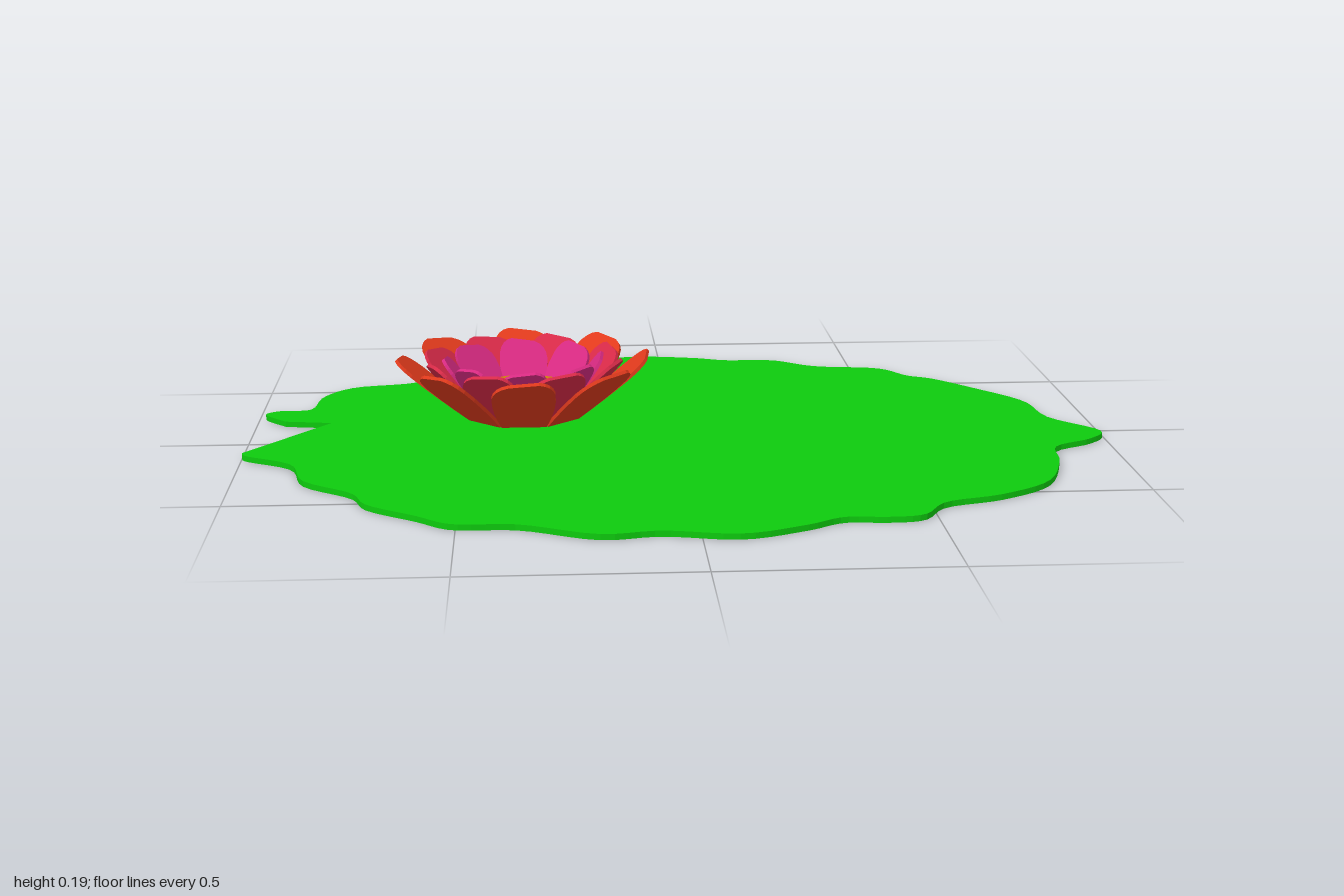
import * as THREE from 'three';

// Wavy pad margin as x, z pairs, running from one side of the notch round to the other
const MARGIN = [
  -0.93, -0.16, -0.985, -0.23, -0.95, -0.265, -0.88, -0.275, -0.86, -0.4, -0.79, -0.495,
  -0.64, -0.54, -0.59, -0.645, -0.505, -0.72, -0.32, -0.74, -0.08, -0.80, 0.08, -0.78,
  0.175, -0.745, 0.3, -0.735, 0.405, -0.66, 0.565, -0.625, 0.63, -0.54, 0.69, -0.5,
  0.78, -0.39, 0.875, -0.25, 0.9, -0.09, 0.995, 0.04, 0.955, 0.115, 0.86, 0.18,
  0.84, 0.3, 0.78, 0.46, 0.66, 0.555, 0.53, 0.605, 0.47, 0.69, 0.39, 0.705,
  0.3, 0.7, 0.215, 0.75, 0.08, 0.8, -0.08, 0.77, -0.21, 0.785, -0.37, 0.71,
  -0.505, 0.7, -0.585, 0.635, -0.69, 0.55, -0.73, 0.46, -0.84, 0.36, -0.88, 0.225,
  -0.985, 0.15, -1, 0.12,
];

const material = (color) => new THREE.MeshStandardMaterial({ color });

// One layer of the pad; notch lists the points that close the outline
function padLayer(name, notch, y, thickness, mat) {
  const pts = [];
  for (let i = 0; i < MARGIN.length; i += 2) pts.push(new THREE.Vector2(MARGIN[i], -MARGIN[i + 1]));
  const outline = new THREE.SplineCurve(pts).getPoints(200);
  for (const [x, z] of notch) outline.push(new THREE.Vector2(x, -z));
  const geo = new THREE.ExtrudeGeometry(new THREE.Shape(outline), { depth: thickness, bevelEnabled: false });
  geo.rotateX(-Math.PI / 2);
  const mesh = new THREE.Mesh(geo, mat);
  mesh.name = name;
  mesh.position.y = y;
  return mesh;
}

// Thin petal with a rounded, slightly skewed tip, growing along +y from its base
function petalGeometry(width, length) {
  const w = width / 2;
  const s = new THREE.Shape();
  s.moveTo(-w * 0.72, 0);
  s.lineTo(w * 0.72, 0);
  s.quadraticCurveTo(w * 1.08, length * 0.45, w, length * 0.78);
  s.quadraticCurveTo(w * 0.92, length * 0.97, w * 0.5, length);
  s.lineTo(-w * 0.45, length * 0.95);
  s.quadraticCurveTo(-w * 0.95, length * 0.88, -w, length * 0.68);
  s.quadraticCurveTo(-w * 1.0, length * 0.35, -w * 0.72, 0);
  return new THREE.ExtrudeGeometry(s, { depth: 0.008, bevelEnabled: false, curveSegments: 4 });
}

// Ring of eight petals leaning outwards from radius r0 to r1
function petalRing(name, r0, r1, y0, y1, width, turn, color) {
  const ring = new THREE.Group();
  ring.name = name;
  const geo = petalGeometry(width, Math.hypot(r1 - r0, y1 - y0));
  geo.rotateX(Math.atan2(r1 - r0, y1 - y0));
  geo.translate(0, y0, r0);
  const mat = material(color);
  for (let i = 0; i < 8; i++) {
    const petal = new THREE.Mesh(geo, mat);
    petal.name = 'petal';
    petal.rotation.y = turn + (i * Math.PI) / 4;
    ring.add(petal);
  }
  return ring;
}

export function createModel() {
  const model = new THREE.Group();
  model.name = 'waterLily';

  // Floating pad: the slit cuts deeper into the underside than the top skin
  const pad = new THREE.Group();
  pad.name = 'lilyPad';
  const green = material(0x0ecb0e);
  pad.add(
    padLayer('padUnderside', [[-0.78, 0.05], [-0.52, -0.03], [-0.82, -0.14]], 0, 0.008, green),
    padLayer('padTop', [[-0.82, -0.14]], 0.008, 0.005, green),
  );
  model.add(pad);

  // Flower
  const flower = new THREE.Group();
  flower.name = 'flower';
  flower.position.set(-0.36, 0, -0.1);
  flower.add(
    petalRing('outerPetals', 0.125, 0.295, 0.045, 0.185, 0.145, 0, 0xe03a1c),
    petalRing('middlePetals', 0.105, 0.232, 0.045, 0.185, 0.135, Math.PI / 8, 0xd82a48),
    petalRing('innerPetals', 0.085, 0.185, 0.05, 0.183, 0.115, 0, 0xd82a82),
  );
  const heart = new THREE.Mesh(new THREE.CylinderGeometry(0.11, 0.085, 0.05, 16), material(0xcc7e10));
  heart.name = 'flowerCentre';
  heart.position.y = 0.083;
  flower.add(heart);
  model.add(flower);

  return model;
}
